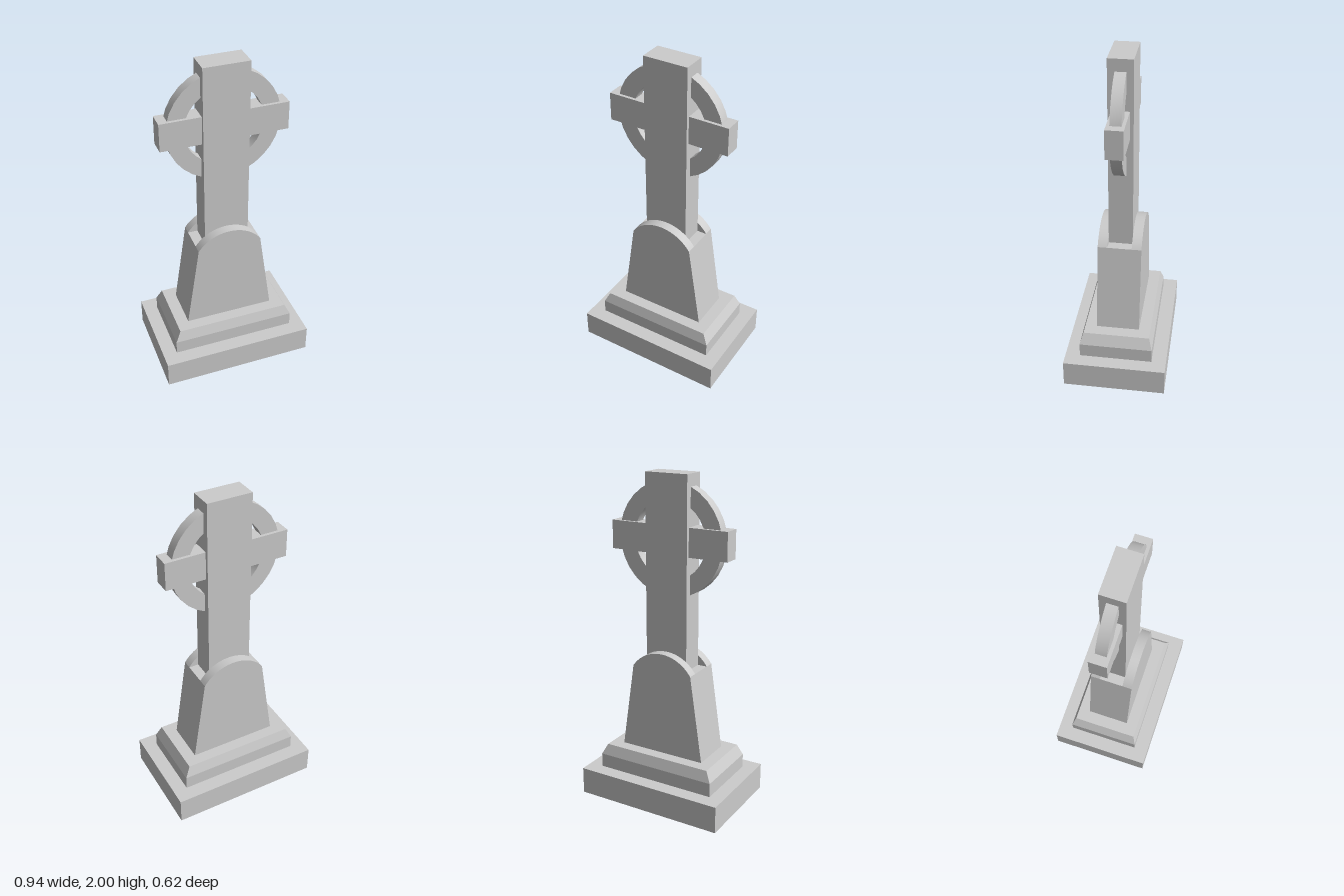
import * as THREE from 'three';
import { toCreasedNormals } from 'three/addons/utils/BufferGeometryUtils.js';

const CREASE = 0.3;

export function createModel() {
  const group = new THREE.Group();
  const stone = new THREE.MeshStandardMaterial({ color: 0xcccccc });

  function add(name, geometry) {
    const mesh = new THREE.Mesh(toCreasedNormals(geometry, CREASE), stone);
    mesh.name = name;
    group.add(mesh);
    return mesh;
  }

  // Box between two heights whose top may be narrower than its bottom
  function block(name, y0, y1, w, d, topW = w, topD = d) {
    const geo = new THREE.BoxGeometry(w, y1 - y0, d).translate(0, (y0 + y1) / 2, 0);
    const p = geo.attributes.position;
    for (let i = 0; i < p.count; i++) {
      if (p.getY(i) > (y0 + y1) / 2) {
        p.setX(i, Math.sign(p.getX(i)) * topW / 2);
        p.setZ(i, Math.sign(p.getZ(i)) * topD / 2);
      }
    }
    return add(name, geo);
  }

  // Stepped base with a chamfered plinth
  block('baseSlab', 0, 0.167, 0.938, 0.62);
  block('plinth', 0.167, 0.253, 0.766, 0.442);
  block('plinthChamfer', 0.253, 0.32, 0.766, 0.442, 0.698, 0.402);

  // Tapered pedestal: flat-topped core between two arched slabs
  const shoulder = 0.196, shoulderY = 0.853, archTop = 0.957, slabZ = 0.072, slabDepth = 0.058;
  block('pedestalCore', 0.32, shoulderY, 0.55, slabZ * 2, shoulder * 2, slabZ * 2);

  const rise = archTop - shoulderY;
  const radius = (shoulder * shoulder + rise * rise) / (2 * rise);
  const start = Math.asin((radius - rise) / radius);
  const arch = new THREE.Shape();
  arch.moveTo(-0.275, 0.32);
  arch.lineTo(0.275, 0.32);
  arch.lineTo(shoulder, shoulderY);
  arch.absarc(0, archTop - radius, radius, start, Math.PI - start, false);
  arch.closePath();
  for (const [name, z] of [['frontArchedSlab', slabZ], ['backArchedSlab', -slabZ - slabDepth]]) {
    const geo = new THREE.ExtrudeGeometry(arch, { depth: slabDepth, bevelEnabled: false, curveSegments: 16 });
    add(name, geo.translate(0, 0, z));
  }

  // Cross: upright shaft and thinner horizontal arm
  block('shaft', shoulderY, 2, 0.272, 0.144);
  block('crossArm', 1.535, 1.705, 0.758, 0.102);

  // Ring around the crossing
  const inner = 0.235, outer = 0.338, half = 0.032;
  const section = [[outer, -half], [outer, half], [inner, half], [inner, -half], [outer, -half]];
  const ring = new THREE.LatheGeometry(section.map(([x, y]) => new THREE.Vector2(x, y)), 32);
  add('ring', ring.rotateX(Math.PI / 2).translate(0, 1.62, 0));

  return group;
}
